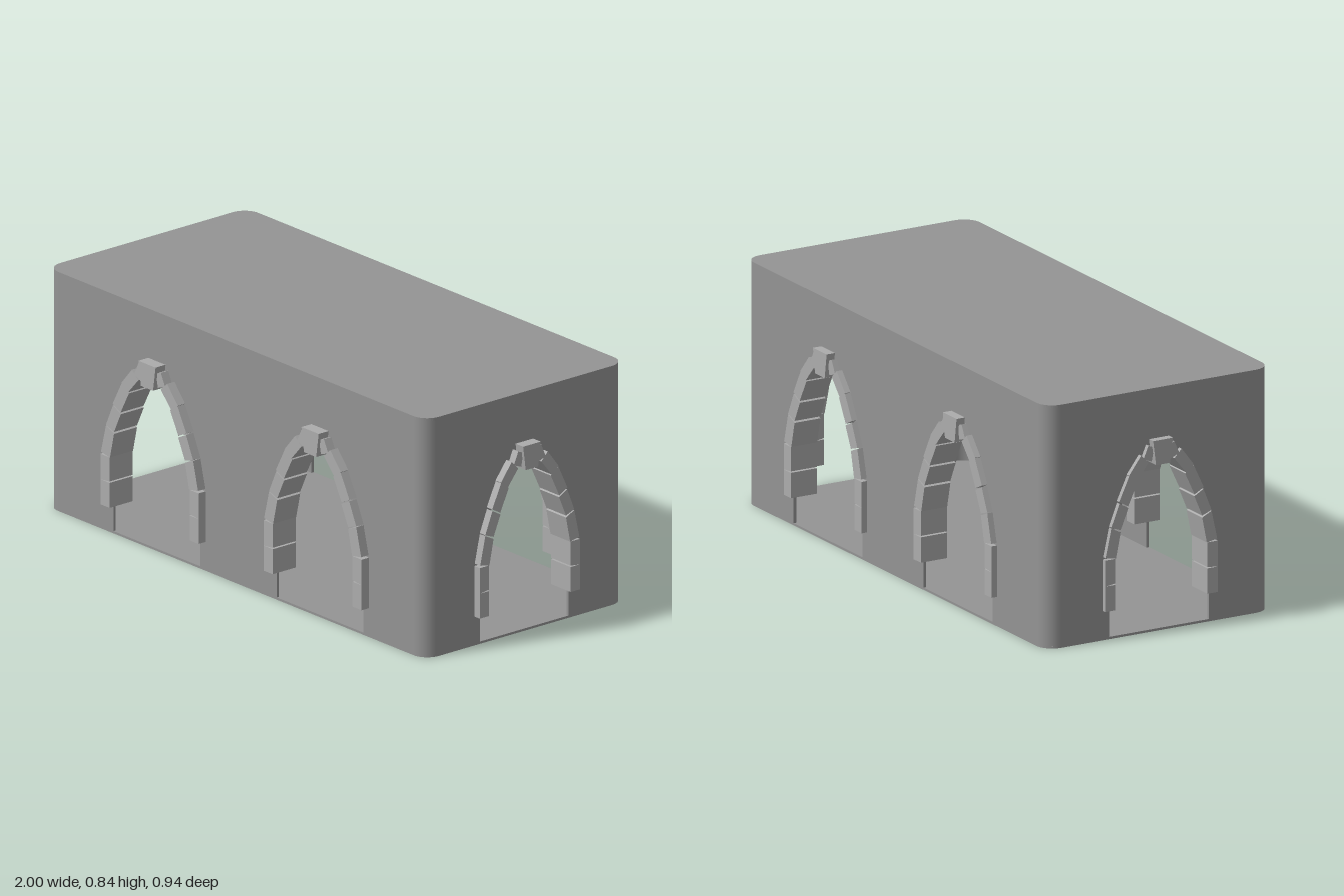
import * as THREE from 'three';

const X0 = -0.972, X1 = 0.96, Z0 = -0.442, Z1 = 0.428; // body footprint
const H = 0.842, R = 0.06, T = 0.01, STONE_DEPTH = 0.1;

// One half of an arch ring: stone corners from the springing to the keystone
const STONES = [
  [[0.177, 0.102], [0.217, 0.102], [0.217, 0.19], [0.177, 0.19]],
  [[0.177, 0.195], [0.217, 0.19], [0.217, 0.28], [0.177, 0.28]],
  [[0.175, 0.28], [0.215, 0.288], [0.193, 0.387], [0.157, 0.369]],
  [[0.157, 0.376], [0.193, 0.39], [0.162, 0.468], [0.127, 0.448]],
  [[0.128, 0.454], [0.163, 0.474], [0.124, 0.557], [0.091, 0.533]],
  [[0.097, 0.533], [0.125, 0.559], [0.078, 0.621], [0.05, 0.592]],
  [[0.037, 0.594], [0.069, 0.607], [0.05, 0.651], [0.028, 0.642]],
];
const KEYSTONE = [[-0.027, 0.583], [0.027, 0.583], [0.038, 0.668], [-0.038, 0.668]];
// Half outline of the wall opening
const OPENING = [[0.192, 0], [0.192, 0.2], [0.189, 0.28], [0.171, 0.38], [0.142, 0.463],
  [0.106, 0.543], [0.058, 0.6], [0.02, 0.615]];

const wallMaterial = new THREE.MeshStandardMaterial({ color: 0x949494, side: THREE.DoubleSide });
const stoneMaterial = new THREE.MeshStandardMaterial({ color: 0xacacac, side: THREE.DoubleSide });

function add(parent, geometry, material, name) {
  const mesh = new THREE.Mesh(geometry, material);
  mesh.name = name;
  parent.add(mesh);
  return mesh;
}

function extrude(points, depth) {
  const shape = new THREE.Shape(points.map(([x, y]) => new THREE.Vector2(x, y)));
  return new THREE.ExtrudeGeometry(shape, { depth, bevelEnabled: false });
}

// Pointed ring of separate stones with a projecting keystone; front face at z = out
function createArch(scale, out) {
  const arch = new THREE.Group();
  arch.name = 'archRing';
  for (const side of [1, -1]) {
    for (const quad of STONES) {
      const points = quad.map(([x, y]) => [x * side * scale, y]);
      add(arch, extrude(points, STONE_DEPTH), stoneMaterial, 'archStone').position.z = out - STONE_DEPTH;
    }
  }
  const key = extrude(KEYSTONE.map(([x, y]) => [x * scale, y]), STONE_DEPTH + 0.02);
  add(arch, key, stoneMaterial, 'keystone').position.z = out + 0.011 - STONE_DEPTH - 0.02;
  return arch;
}

// Thin wall panel from u0 to u1 with arched doorways; outside at local z = 0
function createWall(name, u0, u1, centres, scale, out) {
  const wall = new THREE.Group();
  wall.name = name;
  const points = [[u0, 0]];
  for (const c of centres) {
    for (const [x, y] of OPENING) points.push([c - x * scale, y]);
    for (const [x, y] of [...OPENING].reverse()) points.push([c + x * scale, y]);
    const arch = createArch(scale, out);
    arch.position.x = c;
    wall.add(arch);
  }
  points.push([u1, 0], [u1, H], [u0, H]);
  add(wall, extrude(points, T), wallMaterial, 'wallPanel').position.z = -T;
  return wall;
}

// Rounded rectangle slab used for floor and roof
function createSlab(thickness) {
  const s = new THREE.Shape();
  s.absarc(X1 - R, Z1 - R, R, 0, Math.PI / 2);
  s.absarc(X0 + R, Z1 - R, R, Math.PI / 2, Math.PI);
  s.absarc(X0 + R, Z0 + R, R, Math.PI, Math.PI * 1.5);
  s.absarc(X1 - R, Z0 + R, R, Math.PI * 1.5, Math.PI * 2);
  const g = new THREE.ExtrudeGeometry(s, { depth: thickness, bevelEnabled: false, curveSegments: 8 });
  return g.rotateX(Math.PI / 2).translate(0, thickness, 0);
}

export function createModel() {
  const model = new THREE.Group();
  model.name = 'arcadeBuilding';

  // Floor and roof
  add(model, createSlab(0.008), wallMaterial, 'floor');
  add(model, createSlab(T), wallMaterial, 'roof').position.y = H - T;

  // Long walls with two doorways, short walls with one
  const front = createWall('frontWall', X0 + R, X1 - R, [-0.409, 0.424], 1.15, 0.46 - Z1);
  front.position.z = Z1;
  const back = createWall('backWall', -X1 + R, -X0 - R, [-0.424, 0.409], 1.15, 0.463 + Z0);
  back.position.z = Z0;
  back.rotation.y = Math.PI;
  const left = createWall('leftWall', -Z1 + R, -Z0 - R, [0.002], 1, 0.988 - X1);
  left.position.x = X1;
  left.rotation.y = Math.PI / 2;
  const right = createWall('rightWall', Z0 + R, Z1 - R, [-0.005], 1, 0.988 + X0);
  right.position.x = X0;
  right.rotation.y = -Math.PI / 2;
  model.add(front, back, left, right);

  // Rounded wall corners
  const corners = [[X1 - R, Z1 - R], [X1 - R, Z0 + R], [X0 + R, Z0 + R], [X0 + R, Z1 - R]];
  corners.forEach(([x, z], i) => {
    const g = new THREE.CylinderGeometry(R, R, H, 8, 1, true, i * Math.PI / 2, Math.PI / 2);
    add(model, g, wallMaterial, 'wallCorner').position.set(x, H / 2, z);
  });

  return model;
}
